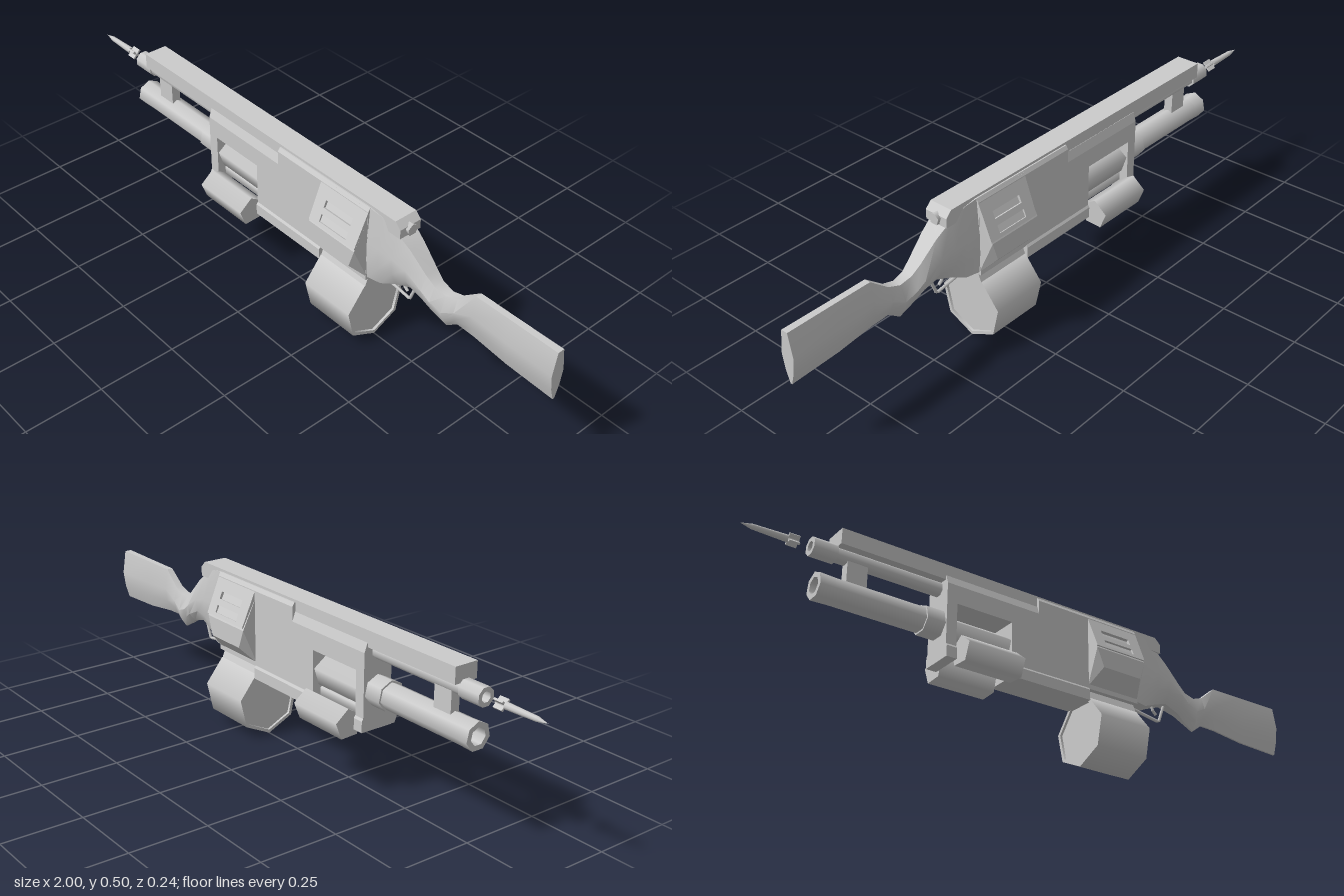
import * as THREE from 'three';
import { toCreasedNormals } from 'three/addons/utils/BufferGeometryUtils.js';
import { ConvexGeometry } from 'three/addons/geometries/ConvexGeometry.js';

const mat = new THREE.MeshStandardMaterial({ color: 0xcccccc, side: THREE.DoubleSide });

export function createModel() {
  const root = new THREE.Group();
  const add = (name, geometry) => {
    const mesh = new THREE.Mesh(geometry, mat);
    mesh.name = name;
    root.add(mesh);
    return mesh;
  };
  const box = (name, x0, x1, y0, y1, halfZ) =>
    add(name, new THREE.BoxGeometry(x1 - x0, y1 - y0, 2 * halfZ).translate((x0 + x1) / 2, (y0 + y1) / 2, 0));
  const shape = (pts) => new THREE.Shape(pts.map(([x, y]) => new THREE.Vector2(x, y)));
  // Side outline (x, y) extruded symmetrically across z
  const slab = (name, pts, halfZ) =>
    add(name, new THREE.ExtrudeGeometry(shape(pts), { depth: 2 * halfZ, bevelEnabled: false }).translate(0, 0, -halfZ));
  // End outline (z, y) extruded along x
  const beam = (name, pts, x0, x1) =>
    add(name, new THREE.ExtrudeGeometry(shape(pts.map(([z, y]) => [-z, y])), { depth: x1 - x0, bevelEnabled: false })
      .rotateY(Math.PI / 2).translate(x0, 0, 0));
  // Turned part about an x axis; profile is [x, r], every corner doubled to stay sharp.
  // angle is where one side edge points, measured from +z towards +y.
  const turned = (name, profile, y, z, sides, angle = Math.PI / 2) => {
    const pts = profile.flatMap(([x, r]) => [new THREE.Vector2(r, x), new THREE.Vector2(r, x)]);
    return add(name, new THREE.LatheGeometry(pts, sides, -angle).rotateZ(-Math.PI / 2).translate(0, y, z));
  };

  // Barrels, hollow at the muzzle
  turned('upperBarrel', [[-0.72, 0], [-0.72, 0.016], [-0.79, 0.016], [-0.79, 0.029], [-0.715, 0.029],
    [-0.715, 0.023], [-0.36, 0.023]], 0.437, 0, 8, Math.PI / 8);
  turned('lowerBarrel', [[-0.69, 0], [-0.69, 0.027], [-0.77, 0.027], [-0.77, 0.043], [-0.72, 0.041], [-0.43, 0.041],
    [-0.43, 0.047], [-0.36, 0.047]], 0.32, 0, 7);
  box('barrelBracket', -0.68, -0.615, 0.35, 0.425, 0.015);

  // Dart floating ahead of the muzzle
  turned('dart', [[-1, 0], [-0.965, 0.008], [-0.86, 0.011], [-0.86, 0.006], [-0.825, 0.006], [-0.825, 0]], 0.437, 0, 8);
  for (let i = 0; i < 2; i++) {
    const fin = add('dartFin', new THREE.BoxGeometry(0.032, 0.036, 0.006));
    fin.position.set(-0.843, 0.437, 0);
    fin.rotation.x = Math.PI / 4 + i * Math.PI / 2;
  }

  // Top rail and rear sight knob
  slab('topRail', [[-0.715, 0.455], [0.46, 0.455], [0.46, 0.485], [0.44, 0.505], [-0.715, 0.505]], 0.039);
  turned('rearKnob', [[0.43, 0.019], [0.47, 0.019], [0.47, 0]], 0.474, 0, 5);

  // Receiver, open underneath where the chambers sit
  slab('receiver', [[-0.37, 0.24], [-0.335, 0.24], [-0.335, 0.38], [-0.14, 0.38], [-0.14, 0.24],
    [0.345, 0.24], [0.345, 0.44], [-0.37, 0.44]], 0.05);
  beam('frontShoulder', [[-0.05, 0.44], [0.05, 0.44], [0.04, 0.468], [-0.04, 0.468]], -0.37, -0.04);
  beam('rearShoulder', [[-0.05, 0.44], [0.05, 0.44], [0.05, 0.485], [0.043, 0.497], [-0.043, 0.497], [-0.05, 0.485]],
    -0.04, 0.345);
  const keel = [[-0.055, 0.2], [0.055, 0.2], [0.055, 0.235], [0.045, 0.25], [-0.045, 0.25], [-0.055, 0.235]];
  beam('frontKeel', keel, -0.37, -0.335);
  beam('mainKeel', keel, -0.14, 0.15);

  // Three five-sided chambers round a spindle
  const deg = Math.PI / 180;
  for (const [y, z, a] of [[0.307, 0, 90], [0.22, 0.073, 15], [0.22, -0.073, 165]])
    turned('chamber', [[-0.335, 0], [-0.335, 0.048], [-0.14, 0.048], [-0.14, 0]], y, z, 5, a * deg);
  turned('spindle', [[-0.34, 0.025], [-0.135, 0.025]], 0.245, 0, 6);

  // Flared magazine housing
  const hull = [];
  for (const s of [-1, 1])
    for (const [y, z, x0, x1] of [[0.49, 0.033, 0.15, 0.345], [0.365, 0.095, 0.15, 0.34],
      [0.303, 0.095, 0.175, 0.32], [0.25, 0.045, 0.15, 0.345]])
      hull.push(new THREE.Vector3(x0, y, s * z), new THREE.Vector3(x1, y, s * z));
  add('magazineHousing', new ConvexGeometry(hull));
  // Slotted plates on the housing's sloping sides
  const plate = shape([[-0.0975, 0], [0.0925, 0], [0.0975, 0.13], [-0.0975, 0.13]]);
  for (const s of [0.012, 0.056])
    plate.holes.push(new THREE.Path([[-0.058, s], [-0.058, s + 0.024], [0.053, s + 0.024], [0.053, s]]
      .map(([x, y]) => new THREE.Vector2(x, y))));
  const plateGeo = new THREE.ExtrudeGeometry(plate, { depth: 0.012, bevelEnabled: false })
    .translate(0, 0, -0.012).rotateX(-Math.atan2(0.05, 0.12)).translate(0, 0.372, 0.096);
  for (const turn of [0, Math.PI]) {
    const p = add('slottedPlate', plateGeo);
    p.position.x = 0.2475;
    p.rotation.y = turn;
  }

  // Seven-sided drum magazine with recessed ends, and its neck
  turned('drumMagazine', [[0.158, 0], [0.158, 0.1], [0.15, 0.1], [0.15, 0.111], [0.34, 0.111], [0.34, 0.1],
    [0.332, 0.1], [0.332, 0]], 0.111, 0, 7, -Math.PI / 2);
  beam('magazineNeck', [[-0.05, 0.2], [0.05, 0.2], [0.028, 0.255], [-0.028, 0.255]], 0.15, 0.34);

  // Grip and stock: x, top, bottom, then half widths at top, middle, low and bottom
  const stations = [
    [0.345, 0.497, 0.25, 0.043, 0.05, 0.05, 0.045],
    [0.39, 0.49, 0.25, 0.04, 0.05, 0.048, 0.035],
    [0.44, 0.465, 0.272, 0.034, 0.048, 0.044, 0.022],
    [0.49, 0.43, 0.29, 0.028, 0.045, 0.04, 0.018],
    [0.55, 0.375, 0.272, 0.022, 0.04, 0.034, 0.012],
    [0.58, 0.352, 0.252, 0.018, 0.036, 0.028, 0.006],
    [0.62, 0.343, 0.23, 0.015, 0.031, 0.022, 0.003],
    [0.66, 0.357, 0.26, 0.012, 0.025, 0.018, 0.003],
    [0.72, 0.406, 0.258, 0.01, 0.02, 0.015, 0.003],
    [0.84, 0.406, 0.243, 0.01, 0.021, 0.015, 0.003],
    [1, 0.406, 0.236, 0.011, 0.023, 0.016, 0.003],
  ];
  const pos = [], idx = [], n = 8;
  for (const [x, t, b, wt, wm, wl, wb] of stations) {
    const half = [[wt, t], [wm, b + (t - b) * 0.55], [wl, b + (t - b) * 0.25], [wb, b]];
    for (const [z, y] of half) pos.push(x, y, z);
    for (const [z, y] of half.reverse()) pos.push(x, y, -z);
  }
  const last = (stations.length - 1) * n;
  for (let i = 0; i < last; i += n)
    for (let j = 0; j < n; j++) {
      const k = (j + 1) % n;
      idx.push(i + j, i + k, i + n + j, i + n + j, i + k, i + n + k);
    }
  for (let j = 1; j < n - 1; j++) idx.push(last, last + j, last + j + 1, 0, j + 1, j);
  const stock = new THREE.BufferGeometry();
  stock.setAttribute('position', new THREE.Float32BufferAttribute(pos, 3));
  stock.setIndex(idx);
  add('stock', toCreasedNormals(stock, 0.6));

  // Trigger and guard
  const wire = (name, pts, r) => {
    const path = new THREE.CurvePath();
    const v = pts.map(([x, y]) => new THREE.Vector3(x, y, 0));
    for (let i = 1; i < v.length; i++) path.add(new THREE.LineCurve3(v[i - 1], v[i]));
    add(name, new THREE.TubeGeometry(path, 24, r, 5));
  };
  wire('triggerGuard', [[0.345, 0.25], [0.4, 0.24], [0.475, 0.228], [0.5, 0.295]], 0.005);
  wire('trigger', [[0.445, 0.285], [0.452, 0.262], [0.465, 0.25]], 0.005);

  return root;
}
